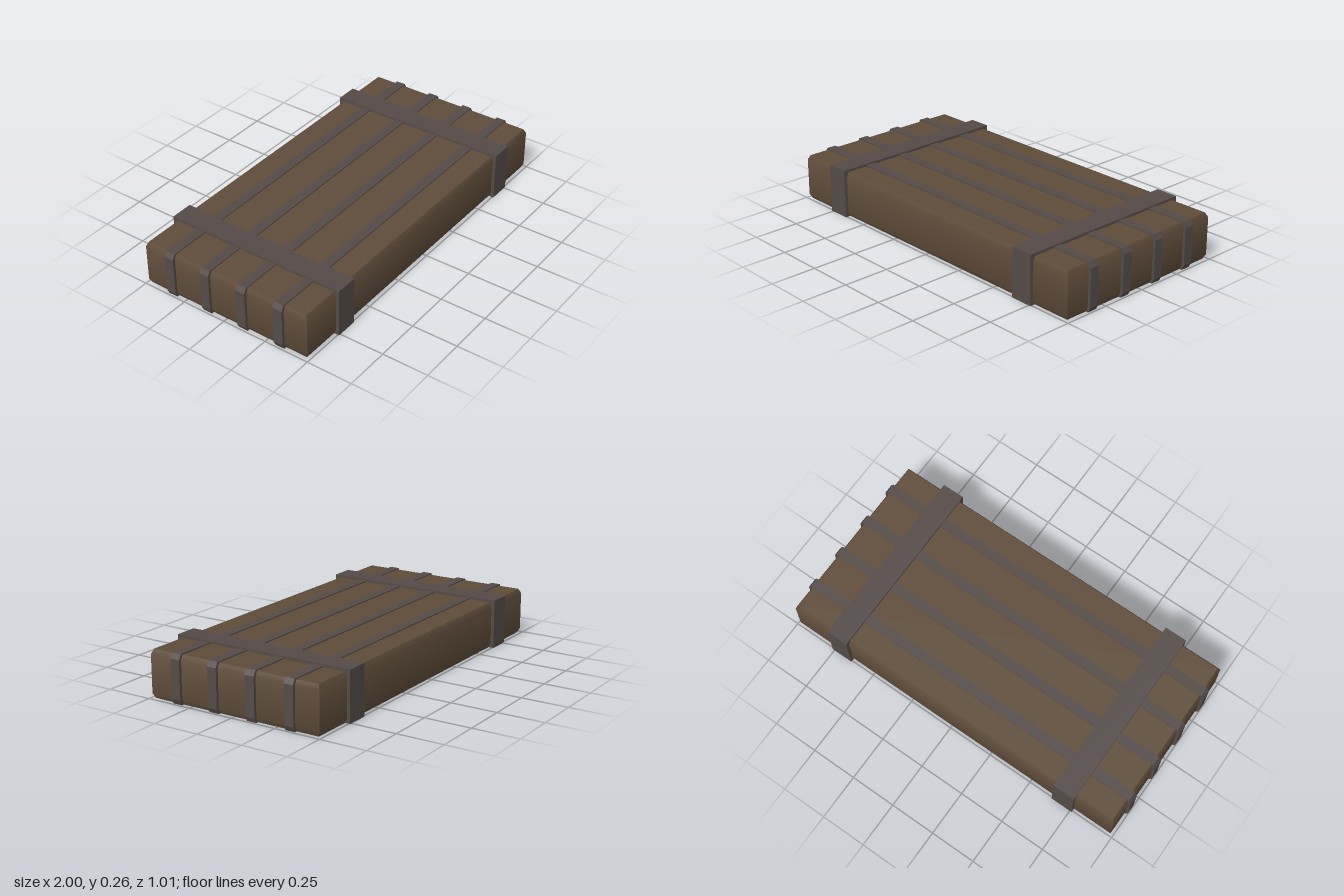
import * as THREE from 'three';
import { toCreasedNormals } from 'three/addons/utils/BufferGeometryUtils.js';

// Half sizes and chamfer of the wooden lid
const HX = 0.985, HZ = 0.49, H = 0.25, BEVEL_IN = 0.012, BEVEL_UP = 0.025;

// Skin through rectangular rings [halfX, halfZ, y], capped at both ends
function ringShell(rings) {
  const pos = [], idx = [];
  for (const [x, z, y] of rings) pos.push(-x, y, z, x, y, z, x, y, -z, -x, y, -z);
  for (let r = 0; r < rings.length - 1; r++) {
    for (let i = 0; i < 4; i++) {
      const a = r * 4 + i, b = r * 4 + (i + 1) % 4;
      idx.push(a, b, b + 4, a, b + 4, a + 4);
    }
  }
  const t = (rings.length - 1) * 4;
  idx.push(0, 2, 1, 0, 3, 2, t, t + 1, t + 2, t, t + 2, t + 3);
  const geo = new THREE.BufferGeometry();
  geo.setAttribute('position', new THREE.Float32BufferAttribute(pos, 3));
  geo.setIndex(idx);
  return toCreasedNormals(geo, 0.6);
}

// Arch-shaped band hugging the lid: half span, top height, corner chamfer, body half size
function bandGeometry(half, top, cutX, cutY, foot, body, width) {
  const outer = [[half - foot, 0], [half, foot ? BEVEL_UP : 0.001], [half, top - cutY], [half - cutX, top]];
  const inner = [[body - BEVEL_IN, H], [body, H - BEVEL_UP], [body, BEVEL_UP], [body - BEVEL_IN, 0]];
  const mirror = (pts) => pts.map(([x, y]) => [-x, y]).reverse();
  const outline = [...outer, ...mirror(outer), ...mirror(inner), ...inner];
  const shape = new THREE.Shape(outline.map(([x, y]) => new THREE.Vector2(x, y)));
  const geo = new THREE.ExtrudeGeometry(shape, { depth: width, bevelEnabled: false });
  return geo.translate(0, 0, -width / 2);
}

export function createModel() {
  const wood = new THREE.MeshStandardMaterial({ color: 0x5f4c3a });
  wood.name = 'darkWood';
  const iron = new THREE.MeshStandardMaterial({ color: 0x544b48 });
  iron.name = 'greyIron';

  const group = new THREE.Group();
  group.name = 'crateLid';
  const add = (geo, mat, name) => {
    const mesh = new THREE.Mesh(geo, mat);
    mesh.name = name;
    group.add(mesh);
    return mesh;
  };

  // Chamfered wooden lid, hollow underneath
  const ix = 0.895, iz = 0.44;
  add(ringShell([
    [ix, iz, 0.12],
    [ix, iz, BEVEL_UP],
    [ix + BEVEL_IN, iz + BEVEL_IN, 0],
    [HX - BEVEL_IN, HZ - BEVEL_IN, 0],
    [HX, HZ, BEVEL_UP],
    [HX, HZ, H - BEVEL_UP],
    [HX - BEVEL_IN, HZ - BEVEL_IN, H],
  ]), wood, 'lidBody');

  // Narrow bands running lengthwise, with chamfered corners
  const narrow = bandGeometry(1, 0.256, 0.015, 0.027, 0.012, HX, 0.053);
  for (const z of [-0.33, -0.11, 0.11, 0.33]) {
    add(narrow, iron, 'lengthwiseBand').position.z = z;
  }

  // Wide square-cornered bands running across
  const wide = bandGeometry(0.507, 0.264, 0, 0.0005, 0, HZ, 0.122);
  for (const x of [-0.7, 0.7]) {
    const band = add(wide, iron, 'crossBand');
    band.position.x = x;
    band.rotation.y = Math.PI / 2;
  }
  return group;
}
